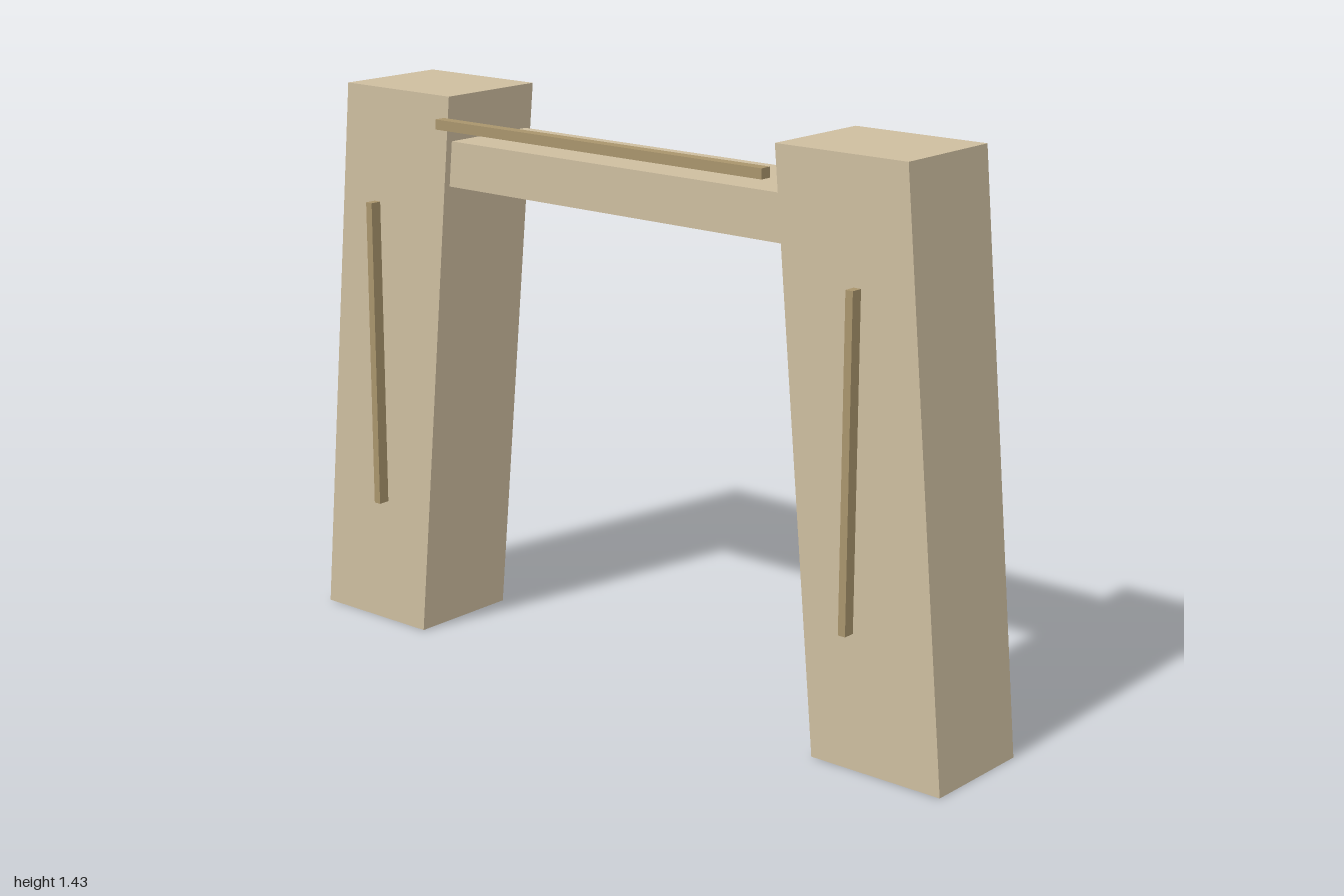
import * as THREE from 'three';

const stone = new THREE.MeshStandardMaterial({ color: 0xcdbd9f });
const trim = new THREE.MeshStandardMaterial({ color: 0xa8946c });

const HEIGHT = 1.43;
const LEAN = 0.133; // inward shift of each pylon from foot to top
const BODY_Z = -0.023;
const STRIP_Z = 0.161;

function box(name, material, size, position) {
  const mesh = new THREE.Mesh(new THREE.BoxGeometry(...size), material);
  mesh.name = name;
  mesh.position.set(...position);
  return mesh;
}

// Box sheared sideways so its top leans towards the middle
function pylon(name, side) {
  const geometry = new THREE.BoxGeometry(0.36, HEIGHT, 0.303);
  geometry.translate(0, HEIGHT / 2, 0);
  const p = geometry.attributes.position;
  for (let i = 0; i < p.count; i++) {
    p.setX(i, p.getX(i) - side * LEAN * p.getY(i) / HEIGHT);
  }
  geometry.computeVertexNormals();
  const mesh = new THREE.Mesh(geometry, stone);
  mesh.name = name;
  mesh.position.set(side * 0.82, 0, BODY_Z);
  return mesh;
}

export function createModel() {
  const gate = new THREE.Group();
  gate.name = 'gateway';

  // Leaning pylons, each with an upright strip in front
  for (const [label, side] of [['left', 1], ['right', -1]]) {
    gate.add(pylon(label + 'Pylon', side));
    gate.add(box(label + 'Strip', trim, [0.02, 0.8, 0.03], [side * 0.753, 0.74, STRIP_Z]));
  }

  // Crossbeam, its ends buried in the pylons
  gate.add(box('crossbeam', stone, [1.06, 0.115, 0.267], [0, 1.258, BODY_Z]));

  // Thin horizontal strip above the crossbeam
  gate.add(box('topStrip', trim, [1.016, 0.025, 0.03], [0, 1.367, STRIP_Z]));

  return gate;
}
